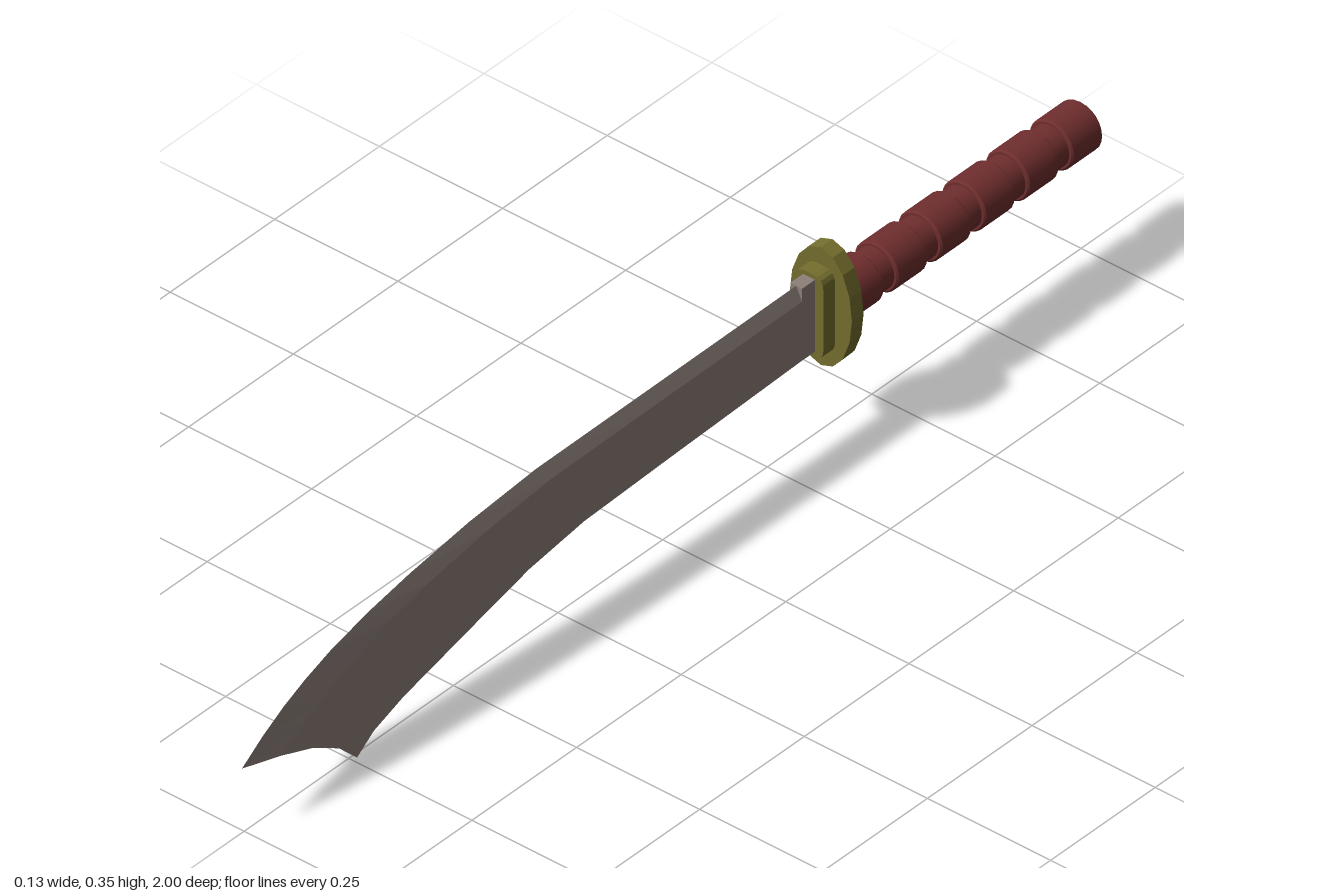
import * as THREE from 'three';

const steel = new THREE.MeshStandardMaterial({ color: 0x8d807b });
steel.name = 'steel';
const brass = new THREE.MeshStandardMaterial({ color: 0x756f2e });
brass.name = 'brass';
const grip = new THREE.MeshStandardMaterial({ color: 0x702e2e });
grip.name = 'redGrip';

const AXIS_Y = 0.241;

function add(group, name, geometry, material) {
  const mesh = new THREE.Mesh(geometry, material);
  mesh.name = name;
  group.add(mesh);
  return mesh;
}

// Blade: five-sided sections (ridge, two bevel edges, two lower edges) from guard to tip
function bladeGeometry() {
  // ridge z, y | bevel z, y | lower edge z, y
  const stations = [
    [-0.32, 0.312, -0.32, 0.287, -0.32, 0.174],
    [0.00, 0.309, 0.00, 0.284, 0.00, 0.163],
    [0.30, 0.306, 0.28, 0.280, 0.20, 0.155],
    [0.46, 0.293, 0.43, 0.266, 0.33, 0.136],
    [0.60, 0.273, 0.57, 0.243, 0.47, 0.100],
    [0.70, 0.254, 0.66, 0.223, 0.63, 0.058],
    [0.79, 0.230, 0.74, 0.197, 0.70, 0.032],
    [0.85, 0.208, 0.79, 0.176, 0.74, 0.003],
    [0.90, 0.185, 0.83, 0.157, 0.78, 0.043],
    [0.95, 0.156, 0.87, 0.136, 0.845, 0.080],
    [1.00, 0.121, 0.92, 0.107, 0.92, 0.107],
  ];
  const half = 0.012;
  const rings = stations.map(([tz, ty, mz, my, bz, by]) => {
    const p = (x, y, z) => [x - 0.0045 * (z + 0.35) / 1.35, y, z];
    return [p(0, ty, tz), p(half, my, mz), p(half, by, bz), p(-half, by, bz), p(-half, my, mz)];
  });
  const pos = [];
  const tri = (a, b, c) => pos.push(...a, ...b, ...c);
  for (let i = 0; i < rings.length - 1; i++) {
    for (let j = 0; j < 5; j++) {
      const k = (j + 1) % 5;
      const a = rings[i][j], b = rings[i][k], c = rings[i + 1][k], d = rings[i + 1][j];
      tri(a, d, b);
      tri(b, d, c);
    }
  }
  // end caps
  const first = rings[0], last = rings[rings.length - 1];
  for (let j = 1; j < 4; j++) tri(first[0], first[j], first[j + 1]);
  tri(last[0], last[4], last[1]);
  const g = new THREE.BufferGeometry();
  g.setAttribute('position', new THREE.Float32BufferAttribute(pos, 3));
  g.computeVertexNormals();
  return g;
}

// Rounded rectangle outline for the collar
function collarShape(w, h, r) {
  const s = new THREE.Shape();
  s.moveTo(-w + r, -h);
  s.lineTo(w - r, -h);
  s.quadraticCurveTo(w, -h, w, -h + r);
  s.lineTo(w, h - r);
  s.quadraticCurveTo(w, h, w - r, h);
  s.lineTo(-w + r, h);
  s.quadraticCurveTo(-w, h, -w, h - r);
  s.lineTo(-w, -h + r);
  s.quadraticCurveTo(-w, -h, -w + r, -h);
  return s;
}

export function createModel() {
  const model = new THREE.Group();
  model.name = 'curvedSword';

  add(model, 'blade', bladeGeometry(), steel);

  // Square, unsharpened root of the blade
  const root = add(model, 'bladeRoot', new THREE.BoxGeometry(0.024, 0.138, 0.07), steel);
  root.position.set(0, 0.243, -0.354);

  // Collar in front of the guard
  const collar = add(model, 'collar', new THREE.ExtrudeGeometry(collarShape(0.029, 0.079, 0.022),
    { depth: 0.035, bevelEnabled: false, curveSegments: 4 }), brass);
  collar.position.set(0, AXIS_Y, -0.385);

  // Oval guard
  const disc = new THREE.CylinderGeometry(1, 1, 0.028, 16).toNonIndexed();
  disc.rotateX(Math.PI / 2);
  disc.scale(0.063, 0.113, 1);
  disc.computeVertexNormals();
  const guard = add(model, 'guard', disc, brass);
  guard.position.set(0, AXIS_Y - 0.001, -0.392);

  // Grip: six wide bands joined by narrow necks
  const handle = new THREE.Group();
  handle.name = 'handle';
  handle.position.y = AXIS_Y;
  model.add(handle);
  const pitch = 0.1045, band = 0.073, R = 0.045, neck = 0.038, c = 0.003;
  for (let i = 0; i < 6; i++) {
    const profile = [[0, 0], [R - c, 0], [R, c], [R, band - c], [R - c, band], [0, band]]
      .map(([x, y]) => new THREE.Vector2(x, y));
    // split every profile corner so the band edges stay crisp
    for (let k = 0; k < profile.length - 1; k++) {
      const strip = new THREE.LatheGeometry([profile[k], profile[k + 1]], 24);
      strip.rotateX(Math.PI / 2);
      add(handle, 'gripBand', strip, grip).position.z = -1 + i * pitch;
    }
    if (i < 5) {
      const ring = new THREE.CylinderGeometry(neck, neck, pitch - band + 0.002, 24, 1, true);
      ring.rotateX(Math.PI / 2);
      add(handle, 'gripNeck', ring, grip).position.z = -1 + i * pitch + (pitch + band) / 2;
    }
  }
  return model;
}
